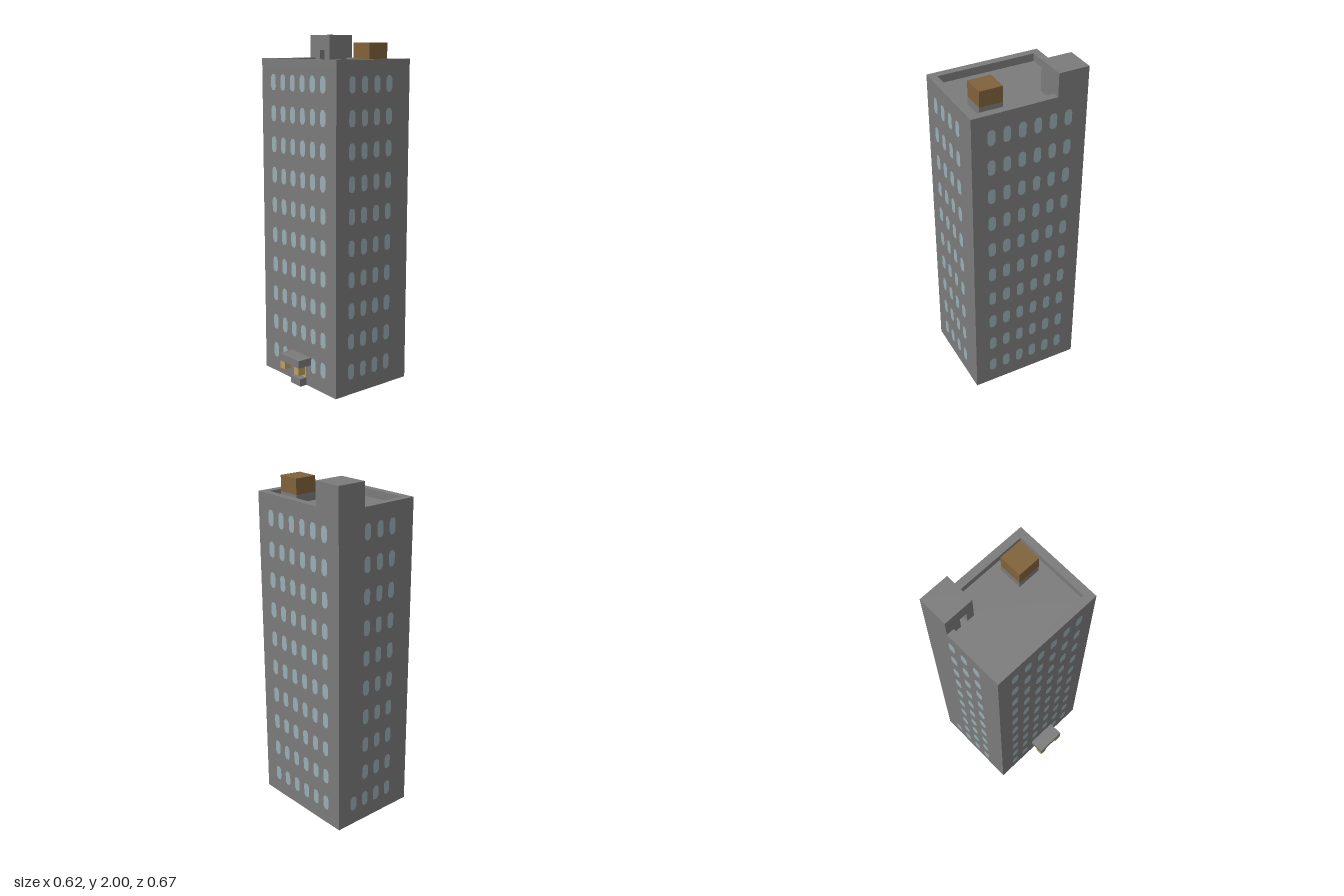
import * as THREE from 'three';

const mat = (name, color, extra = {}) => {
  const m = new THREE.MeshStandardMaterial({ color, ...extra });
  m.name = name;
  return m;
};

export function createModel() {
  const concrete = mat('concrete grey', 0x7b7b7b);
  const glass = mat('window blue', 0x99aeb4);
  const wood = mat('tank brown', 0x80623b);
  const light = mat('warm yellow', 0xb8a060);

  const model = new THREE.Group();
  model.name = 'apartmentTower';

  // Box given by its two extreme corners
  const block = (name, material, [x0, y0, z0], [x1, y1, z1], parent = model) => {
    const mesh = new THREE.Mesh(new THREE.BoxGeometry(x1 - x0, y1 - y0, z1 - z0), material);
    mesh.position.set((x0 + x1) / 2, (y0 + y1) / 2, (z0 + z1) / 2);
    mesh.name = name;
    parent.add(mesh);
    return mesh;
  };

  const L = -0.222, R = 0.31, B = -0.333, F = 0.333;
  const deck = 1.822, top = 1.867;

  // Main body, floor plate and parapet
  block('body', concrete, [L, 0.002, B], [R, deck, F]);
  block('groundFloor', light, [L + 0.044, 0.001, B + 0.044], [R - 0.044, 0.004, F - 0.044]);
  const ringShape = (x0, x1, z0, z1, path) =>
    path.moveTo(x0, z0).lineTo(x1, z0).lineTo(x1, z1).lineTo(x0, z1).closePath();
  const rimShape = new THREE.Shape();
  ringShape(L, R, -F, -B, rimShape);
  const rimHole = new THREE.Path();
  ringShape(L + 0.044, R - 0.044, -F + 0.044, -B - 0.044, rimHole);
  rimShape.holes.push(rimHole);
  const addRim = (name, y0, y1) => {
    const geo = new THREE.ExtrudeGeometry(rimShape, { depth: y1 - y0, bevelEnabled: false });
    const rim = new THREE.Mesh(geo.rotateX(-Math.PI / 2), concrete);
    rim.position.y = y0;
    rim.name = name;
    model.add(rim);
  };
  addRim('parapet', deck, top);
  addRim('footing', 0, 0.002);

  // Windows: tall panes with clipped corners
  const w = 0.022, h = 0.045, cx = 0.011, cy = 0.017;
  const pane = new THREE.ShapeGeometry(new THREE.Shape([
    [-w + cx, -h], [w - cx, -h], [w, -h + cy], [w, h - cy],
    [w - cx, h], [-w + cx, h], [-w, h - cy], [-w, -h + cy],
  ].map(([x, y]) => new THREE.Vector2(x, y))));
  const windows = new THREE.Group();
  windows.name = 'windows';
  model.add(windows);
  const addWindow = (x, y, z, turn) => {
    const m = new THREE.Mesh(pane, glass);
    m.position.set(x, y, z);
    m.rotation.y = turn;
    m.name = 'window';
    windows.add(m);
  };
  const gap = 0.002;
  for (let row = 0; row < 10; row++) {
    const y = 0.135 + row * 0.1778;
    for (let i = 0; i < 4; i++) {
      const x = -0.112 + i * 0.0889;
      addWindow(x, y, F + gap, 0);
      // The stairwell column at the back has a window on the ground floor only
      if (i > 0 || row === 0) addWindow(L + R - x, y, B - gap, Math.PI);
    }
    for (let i = 0; i < 6; i++) {
      const z = -0.222 + i * 0.0889;
      addWindow(R + gap, y, z, Math.PI / 2);
      // Leave room for the entrance
      if (row > 0 || (i !== 2 && i !== 3)) addWindow(L - gap, y, z, -Math.PI / 2);
    }
  }

  // Entrance: step, door, canopy and two hanging lamps
  const entrance = new THREE.Group();
  entrance.name = 'entrance';
  model.add(entrance);
  block('step', concrete, [-0.267, 0, -0.023], [L, 0.045, 0.066], entrance);
  block('door', light, [L - 0.003, 0.045, -0.023], [L, 0.134, 0.066], entrance);
  block('canopy', concrete, [-0.311, 0.134, -0.067], [L, 0.178, 0.11], entrance);
  for (const z of [-0.067, 0.066])
    block('lamp', light, [-0.311, 0.09, z], [-0.267, 0.134, z + 0.044], entrance);

  // Rooftop stair house with a recessed doorway on its left-hand wall
  const stair = new THREE.Group();
  stair.name = 'stairHouse';
  model.add(stair);
  const sx = 0.134, sz = -0.157, d0 = -0.244, d1 = -0.2, dTop = 1.911;
  block('stairHouseCore', concrete, [sx + 0.044, deck, B], [R, 2, sz], stair);
  block('doorJambBack', concrete, [sx, deck, B], [sx + 0.044, 2, d0], stair);
  block('doorJambFront', concrete, [sx, deck, d1], [sx + 0.044, 2, sz], stair);
  block('doorLintel', concrete, [sx, dTop, d0], [sx + 0.044, 2, d1], stair);

  // Rooftop water tank on its plinth
  block('tankPlinth', concrete, [0.089, deck, 0.11], [0.222, top, 0.243]);
  block('waterTank', wood, [0.089, top, 0.11], [0.222, 1.956, 0.243]);

  return model;
}
